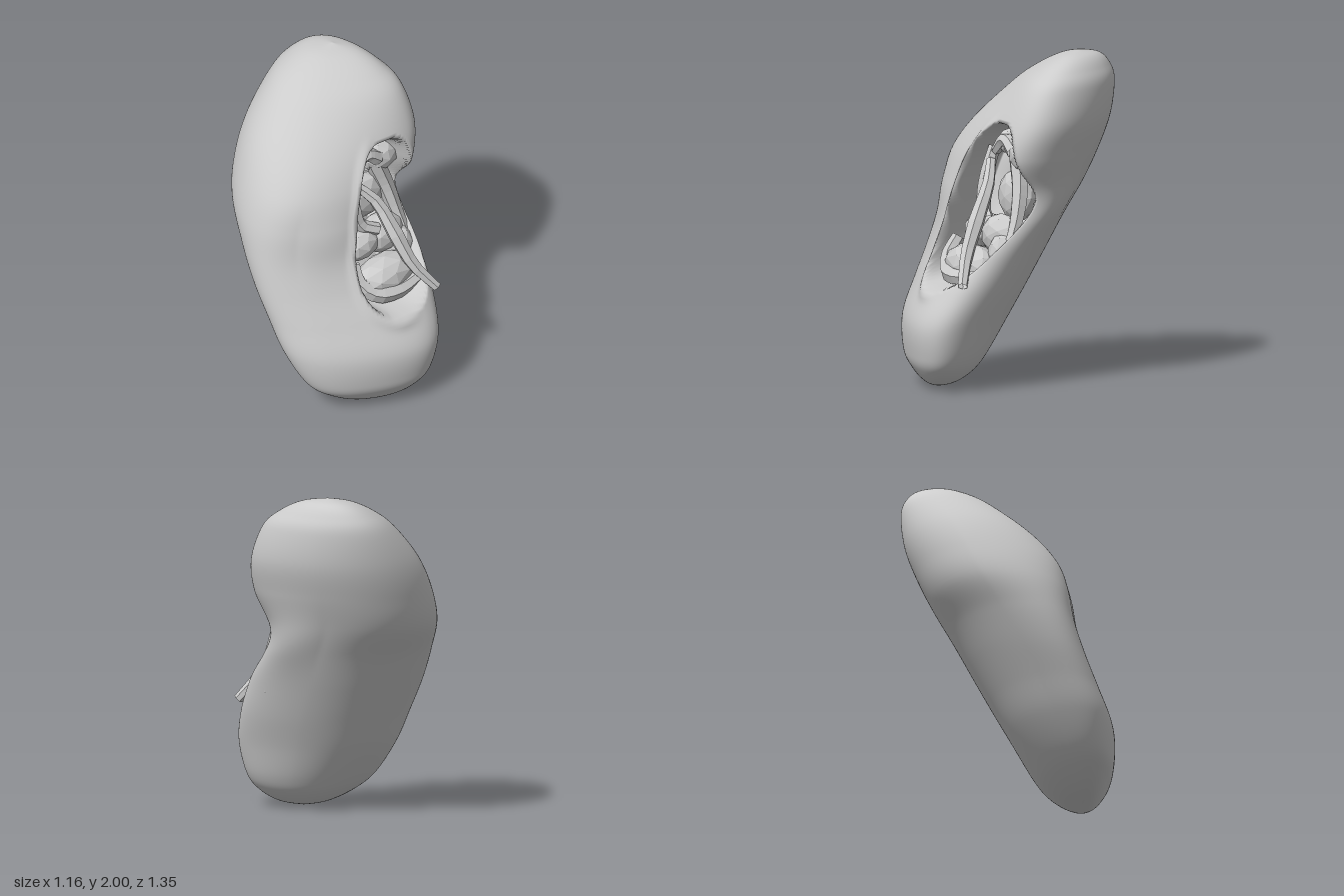
import * as THREE from 'three';

const V = (x, y, z) => new THREE.Vector3(x, y, z);
const smooth = THREE.MathUtils.smoothstep;
const bump = (x, middle, width) => Math.exp(-(((x - middle) / width) ** 2));
const material = new THREE.MeshStandardMaterial({ color: 0xcccccc, roughness: 0.7 });
const faceted = new THREE.MeshStandardMaterial({
  color: 0xcccccc, roughness: 0.7, flatShading: true, side: THREE.DoubleSide,
});

// Horizontal slices of the bean: y, min x, max x, min z, max z
const SLICES = [
  [0, -0.05, -0.05, 0.42, 0.42],
  [0.03, -0.21, 0.09, 0.29, 0.52],
  [0.1, -0.35, 0.20, 0.17, 0.60],
  [0.2, -0.46, 0.27, 0.07, 0.65],
  [0.4, -0.54, 0.33, -0.08, 0.665],
  [0.6, -0.565, 0.38, -0.20, 0.57],
  [0.8, -0.58, 0.41, -0.32, 0.44],
  [1.0, -0.575, 0.435, -0.44, 0.32],
  [1.2, -0.545, 0.46, -0.58, 0.265],
  [1.4, -0.47, 0.53, -0.645, 0.235],
  [1.6, -0.34, 0.575, -0.675, 0.17],
  [1.8, -0.14, 0.55, -0.66, 0.06],
  [1.9, 0.0, 0.49, -0.61, -0.06],
  [1.97, 0.15, 0.41, -0.52, -0.21],
  [2.0, 0.3, 0.3, -0.37, -0.37],
];

// Turns an ellipse into the uneven slice: full at the front left, flatter at the back,
// with a notch at the hollow and a fuller right flank at mid height
function sliceSkew(t, y) {
  const toFrontLeft = Math.cos(t - Math.PI / 4);
  const frontLeft = toFrontLeft > 0 ? 0.28 - 0.4 * bump(y, 1.12, 0.2) : 0.23;
  const flank = 0.15 - 0.44 * bump(y, 1.32, 0.43);
  return 0.3 + frontLeft * toFrontLeft + flank * Math.max(0, Math.cos(t - Math.PI * 0.75));
}

// Distance measure for the egg-shaped opening: 1 on its rim, 0 at its middle
function openingDistance(x, y) {
  const dy = y - 1.1;
  const dx = (x - 0.17 - 0.16 * dy) / (0.26 - 0.07 * dy);
  return Math.pow(Math.abs(dx) ** 2.6 + Math.abs(dy / 0.5) ** 2.6, 1 / 2.6);
}

// Leaning bean body with a steep-walled hollow in its front
function bodyGeometry(rows = 150, cols = 180) {
  const low = new THREE.CatmullRomCurve3(SLICES.map(s => V(s[1], s[0], s[3])), false, 'catmullrom', 0.5);
  const high = new THREE.CatmullRomCurve3(SLICES.map(s => V(s[2], s[0], s[4])), false, 'catmullrom', 0.5);
  const positions = [], index = [];
  for (let i = 0; i <= rows; i++) {
    const a = low.getPoint(i / rows), b = high.getPoint(i / rows);
    const mid = a.clone().add(b).multiplyScalar(0.5);
    const half = b.clone().sub(a).multiplyScalar(0.5);
    for (let j = 0; j < cols; j++) {
      const t = (j / cols) * Math.PI * 2;
      const front = Math.sin(t + sliceSkew(t, mid.y));
      const p = V(mid.x + half.x * Math.cos(t), mid.y, mid.z + half.z * front);
      const d = openingDistance(p.x, p.y);
      const facing = smooth(front, 0.1, 0.45) * smooth(Math.sin(t + 0.3), 0.1, 0.4);
      const lip = 0.025 * bump(d, 1.05, 0.07) * smooth(-p.x, -0.2, 0);
      const push = facing * (0.32 * (1 - smooth(d, 0.86, 1)) - lip);
      p.x -= push * 0.3;
      p.z -= push * 0.95;
      positions.push(p.x, p.y, p.z);
      if (i < rows) {
        const k = i * cols, n = (j + 1) % cols;
        index.push(k + j, k + cols + j, k + n, k + n, k + cols + j, k + cols + n);
      }
    }
  }
  const g = new THREE.BufferGeometry();
  g.setAttribute('position', new THREE.Float32BufferAttribute(positions, 3));
  g.setIndex(index);
  g.computeVertexNormals();
  return g;
}

// Tube whose radius runs from r0 through rMid to r1
function taperedTube(points, r0, rMid, r1, sides = 6, steps = 10) {
  const curve = new THREE.CatmullRomCurve3(points.map(p => V(...p)));
  const g = new THREE.TubeGeometry(curve, steps, 1, sides, false);
  const pos = g.attributes.position, v = new THREE.Vector3();
  for (let i = 0; i <= steps; i++) {
    const t = i / steps, c = curve.getPointAt(t);
    const r = t < 0.5 ? r0 + (rMid - r0) * t * 2 : rMid + (r1 - rMid) * (t * 2 - 1);
    for (let j = 0; j <= sides; j++) {
      const k = i * (sides + 1) + j;
      v.fromBufferAttribute(pos, k).sub(c).multiplyScalar(r).add(c);
      pos.setXYZ(k, v.x, v.y, v.z);
    }
  }
  g.computeVertexNormals();
  return g;
}

export function createModel() {
  const model = new THREE.Group();
  model.name = 'kidney';
  const add = (name, geometry, mat, parent = model) => {
    const mesh = new THREE.Mesh(geometry, mat);
    mesh.name = name;
    parent.add(mesh);
    return mesh;
  };

  add('body', bodyGeometry(), material);

  // Vessels running down through the hollow
  const vessels = new THREE.Group();
  vessels.name = 'vessels';
  model.add(vessels);
  [
    ['mainVessel', [[0.05, 1.34, 0.1], [0.15, 1.22, 0.19], [0.2, 1.02, 0.31], [0.25, 0.82, 0.42], [0.35, 0.66, 0.52]], 0.03, 0.05, 0.03],
    ['leftVessel', [[0.26, 1.38, 0.05], [0.32, 1.2, 0.08], [0.36, 1.0, 0.14], [0.38, 0.84, 0.22]], 0.06, 0.05, 0.03],
    ['rightVessel', [[0.03, 1.42, 0.06], [0.03, 1.24, 0.12], [0.06, 1.06, 0.16], [0.16, 1.0, 0.2]], 0.035, 0.045, 0.04],
    ['upperVessel', [[0.07, 1.4, 0.08], [0.17, 1.48, 0.08], [0.26, 1.42, 0.08]], 0.03, 0.04, 0.05],
    ['lowerVessel', [[-0.07, 0.88, 0.25], [-0.08, 0.78, 0.31], [0.0, 0.7, 0.37], [0.14, 0.68, 0.41], [0.32, 0.7, 0.4]], 0.04, 0.06, 0.04],
  ].forEach(([name, path, r0, rMid, r1]) => add(name, taperedTube(path, r0, rMid, r1), faceted, vessels));

  // Faceted lumps lining the floor of the hollow: position, then radii
  const lobes = new THREE.Group();
  lobes.name = 'innerLobes';
  model.add(lobes);
  [
    [0.32, 1.4, 0.01, 0.14, 0.12, 0.12],
    [0.14, 1.46, 0.02, 0.08, 0.08, 0.08],
    [0.2, 1.14, 0.02, 0.15, 0.16, 0.09],
    [0.05, 0.93, 0.15, 0.14, 0.11, 0.11],
    [0.23, 0.92, 0.15, 0.15, 0.13, 0.11],
    [0.32, 0.82, 0.2, 0.09, 0.13, 0.1],
    [0.13, 0.74, 0.3, 0.22, 0.13, 0.13],
  ].forEach(([x, y, z, rx, ry, rz]) => {
    const lobe = add('innerLobe', new THREE.IcosahedronGeometry(1, 1), faceted, lobes);
    lobe.position.set(x, y, z);
    lobe.scale.set(rx, ry, rz);
  });

  return model;
}
